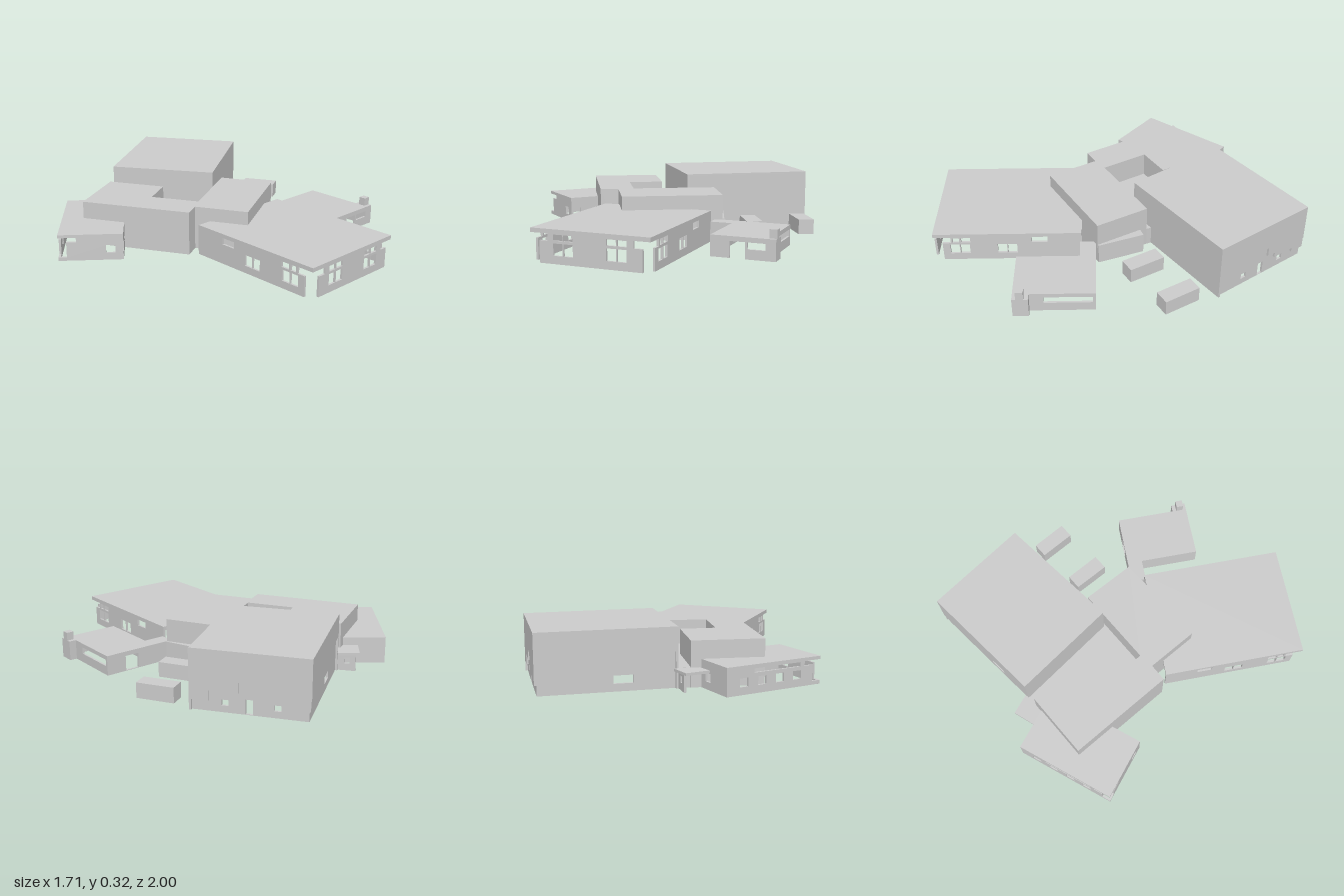
import * as THREE from 'three';

const T = 0.012; // wall thickness
const mat = new THREE.MeshStandardMaterial({ color: 0xcccccc, side: THREE.DoubleSide, flatShading: true });

const toShape = (pts) => new THREE.Shape(pts.map(([x, y]) => new THREE.Vector2(x, y)));
const rect = (x, y, w, h) => [[x, y], [x + w, y], [x + w, y + h], [x, y + h]];

// flat prism over a plan outline of [x, z] points
function slab(name, pts, y0, y1) {
  const geo = new THREE.ExtrudeGeometry(toShape(pts.map(([x, z]) => [x, -z])), { depth: y1 - y0, bevelEnabled: false });
  geo.rotateX(-Math.PI / 2);
  const mesh = new THREE.Mesh(geo, mat);
  mesh.position.y = y0;
  mesh.name = name;
  return mesh;
}

// upright wall from a to b in plan; outline and holes are in [distance, height]
function wall(name, a, b, outline, holes = []) {
  const dx = b[0] - a[0], dz = b[1] - a[1];
  const pts = typeof outline === 'number' ? rect(0, 0, Math.hypot(dx, dz), outline) : outline;
  const shape = toShape(pts);
  holes.forEach((h) => shape.holes.push(toShape(rect(...h))));
  const geo = new THREE.ExtrudeGeometry(shape, { depth: T, bevelEnabled: false });
  geo.translate(0, 0, -T);
  const mesh = new THREE.Mesh(geo, mat);
  mesh.rotation.y = -Math.atan2(dz, dx);
  mesh.position.set(a[0], 0, a[1]);
  mesh.name = name;
  return mesh;
}

// shrink a rectangular plan by d on every side
function inset(pts, d) {
  const n = pts.length;
  return pts.map((p, i) => {
    const r = [...p];
    for (const q of [pts[(i + 1) % n], pts[(i + n - 1) % n]]) {
      const l = Math.hypot(q[0] - p[0], q[1] - p[1]);
      r[0] += (d * (q[0] - p[0])) / l;
      r[1] += (d * (q[1] - p[1])) / l;
    }
    return r;
  });
}

function part(name, ...meshes) {
  const g = new THREE.Group();
  g.name = name;
  g.add(...meshes);
  return g;
}

function tallHall() {
  const plan = [[-0.207, -0.588], [0.14, -0.09], [0.73, -0.505], [0.385, -1]];
  const [l, f, r, b] = plan;
  const [il, , ir, ib] = inset(plan, T);
  const H = 0.31;
  const rightSkin = [[0, 0.055], [0.1, 0.055], [0.1, 0.11], [0.25, 0.11], [0.25, 0.165], [0.34, 0.165], [0.34, 0.11],
    [0.39, 0.11], [0.39, 0.08], [0.52, 0.08], [0.52, 0.055], [0.6, 0.055], [0.6, H], [0, H]];
  const backSkin = [[0, 0.11], [0.33, 0.11], [0.33, 0.19], [0.718, 0.19], [0.718, H], [0, H]];
  return part('tallHall',
    slab('hallRoof', plan, H, 0.318),
    wall('hallLeftWall', l, f, H),
    wall('hallFrontWall', f, r, H),
    wall('hallRightUpperWall', r, b, rightSkin),
    wall('hallBackUpperWall', b, l, backSkin),
    wall('hallRightBase', ir, ib, 0.2, [[0.15, 0.035, 0.035, 0.03], [0.27, 0.003, 0.035, 0.075], [0.41, 0.035, 0.035, 0.03]]),
    wall('hallBackBase', ib, il, 0.22, [[0.38, 0.04, 0.1, 0.042]]));
}

// walls stand flush with the roof edge and leave the front corners open
function frontHall() {
  const x0 = -0.24, x1 = 0.39, z0 = 0.2, z1 = 0.95, L = z1 - z0;
  const front = [[0, 0], [0.54, 0], [0.54, 0.11], [0.495, 0.11], [0.495, 0.146], [0.045, 0.146], [0.045, 0.11], [0, 0.11]];
  const frontHoles = [0.075, 0.13, 0.355, 0.41].flatMap((s) => [[s, 0.04, 0.05, 0.06], [s, 0.113, 0.05, 0.03]]);
  const side = [[0, 0], [L, 0], [L, 0.146], [0.565, 0.146], [0.565, 0.11], [0.48, 0.11], [0.48, 0.146],
    [0.045, 0.146], [0.045, 0.11], [0, 0.11]];
  const sideHoles = [0.04, 0.095, 0.295, 0.35].map((s) => [s, 0.04, 0.05, 0.06]);
  sideHoles.push([0.055, 0.113, 0.035, 0.03], [0.1, 0.113, 0.05, 0.03]);
  return part('frontHall',
    slab('frontHallRoof', [[x0, z0], [x1, z0], [x1, 1], [x0, 1]], 0.146, 0.168),
    wall('frontHallFrontWall', [-0.19, 1], [0.35, 1], front, frontHoles),
    wall('frontHallSideWall', [x1, z1], [x1, z0], side, sideHoles),
    wall('frontHallSideWall', [x0, z0], [x0, z1], side.map(([s, y]) => [L - s, y]),
      sideHoles.map(([s, y, w, h]) => [L - s - w, y, w, h])));
}

// flush walls with an open outer corner above a low sill
function leftWing() {
  const roof = [[-0.855, -0.24], [-0.585, -0.02], [-0.22, -0.455], [-0.49, -0.675]];
  const [l, f, r, b] = roof;
  const H = 0.13, w = 0.348, n = 0.568;
  const end = [[0, 0], [w, 0], [w, H], [0.097, H], [0.097, 0.105], [0.045, 0.105], [0.045, 0.02], [0, 0.02]];
  const back = [[0, 0], [n, 0], [n, 0.02], [n - 0.05, 0.02], [n - 0.05, 0.105], [n - 0.1, 0.105], [n - 0.1, H], [0, H]];
  const windows = (list) => list.map((s) => [s, 0.04, 0.05, 0.045]);
  return part('leftWing',
    slab('leftWingRoof', roof, H, 0.147),
    wall('leftWingEndWall', l, f, end, windows([0.255])),
    wall('leftWingFrontWall', f, r, H, windows([0.01, 0.118])),
    wall('leftWingEndWall', r, b, H, windows([0.15])),
    wall('leftWingBackWall', b, l, back, [...windows([0.075, 0.183, 0.29, 0.395]), [0.16, 0.105, 0.28, 0.022]]));
}

function rightPavilion() {
  const x0 = 0.51, x1 = 0.805, z0 = 0.125, z1 = 0.545, H = 0.09;
  const front = [[0, 0], [0.1, 0], [0.1, 0.085], [0.18, 0.085], [0.18, 0], [0.295, 0], [0.295, H], [0, H]];
  return part('rightPavilion',
    slab('pavilionRoof', [[0.39, z0], [x1, z0], [x1, z1], [x0, z1], [x0, 0.21], [0.39, 0.21]], H, 0.11),
    wall('pavilionFrontWall', [x0, z1], [x1, z1], front, [[0.19, 0.05, 0.095, 0.035]]),
    wall('pavilionSideWall', [x1, z1], [x1, z0], H, [[0.155, 0.05, 0.25, 0.037]]),
    wall('pavilionBackWall', [x1, z0], [0.39, z0], H, [[0.115, 0.003, 0.08, 0.082]]),
    wall('pavilionSideWall', [x0, z0], [x0, z1], H),
    wall('passageWall', [0.39, 0.21], [x0, 0.21], H),
    slab('chimneyBase', [[x1, 0.462], [0.845, 0.462], [0.845, z1], [x1, z1]], 0, 0.11),
    slab('chimneyTop', [[x1, 0.485], [0.845, 0.485], [0.845, 0.525], [x1, 0.525]], 0.11, 0.155));
}

export function createModel() {
  const model = part('buildingComplex', tallHall(), frontHall(), leftWing(), rightPavilion());

  // central block with a stepped plan
  model.add(slab('centralBlock', [[-0.26, -0.553], [-0.093, -0.265], [-0.262, -0.165], [-0.125, 0.072], [0.28, -0.155],
    [0.427, 0.115], [-0.05, 0.385], [-0.197, 0.125], [-0.285, 0.173], [-0.595, -0.363]], 0, 0.243));

  // low link between the central block and the tall hall
  model.add(slab('lowLink', [[-0.26, -0.55], [-0.207, -0.588], [0.14, -0.09], [0.27, -0.18], [0.28, -0.155], [0.1, 0.02],
    [-0.13, 0.07], [-0.3, -0.17]], 0, 0.105));
  model.add(slab('sideEntrance', [[0.29, -0.115], [0.345, -0.135], [0.435, 0.11], [0.38, 0.14]], 0, 0.115));

  // rear porch: thin roof carried by one wall
  model.add(part('rearPorch',
    slab('porchRoof', [[-0.37, -0.58], [-0.26, -0.5], [-0.19, -0.605], [-0.28, -0.68]], 0.09, 0.104),
    wall('porchWall', [-0.207, -0.588], [-0.265, -0.665], 0.09, [[0.035, 0.04, 0.03, 0.035]])));

  // two free-standing sheds
  model.add(slab('shed', [[0.425, -0.195], [0.5, -0.237], [0.602, -0.058], [0.525, -0.015]], 0, 0.083));
  model.add(slab('shed', [[0.672, -0.36], [0.746, -0.402], [0.85, -0.225], [0.775, -0.183]], 0, 0.083));
  return model;
}
